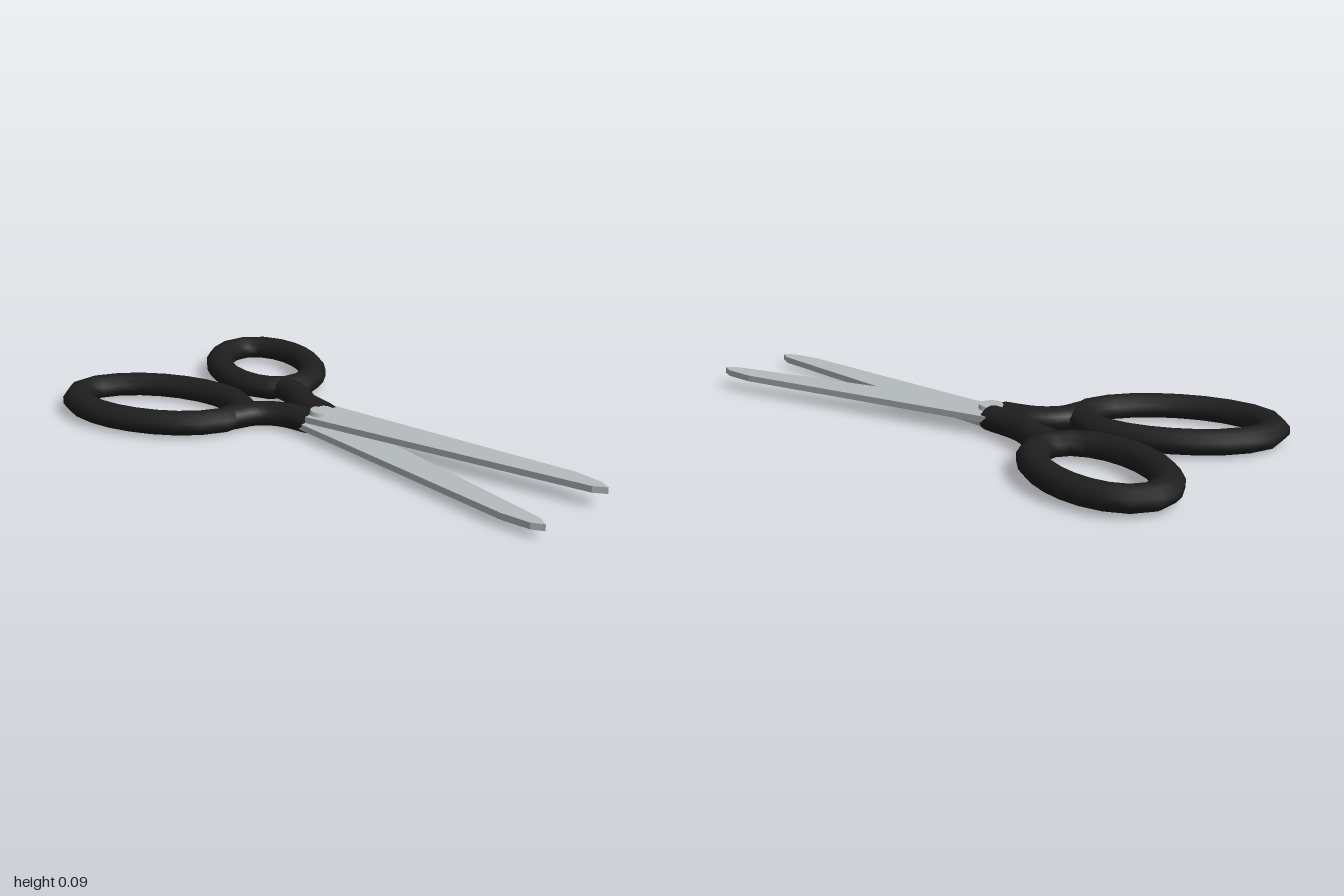
import * as THREE from 'three';

const steel = new THREE.MeshStandardMaterial({ color: 0xb6bbbe });
steel.name = 'steel';
const blackGrip = new THREE.MeshStandardMaterial({ color: 0x1e1e1e });
blackGrip.name = 'black grip';

const FLATTEN = 0.8; // grips are a little lower than they are wide
const GRIP = 0.053;

function addMesh(parent, name, geometry, material) {
  const mesh = new THREE.Mesh(geometry, material);
  mesh.name = name;
  parent.add(mesh);
  return mesh;
}

// Oval finger ring: a tube along a tilted ellipse
function ringGeometry({ x, z, a, b, tilt }) {
  const points = [];
  for (let i = 0; i < 20; i++) {
    const t = (i / 20) * Math.PI * 2;
    const u = a * Math.cos(t), v = b * Math.sin(t);
    points.push(new THREE.Vector3(
      x + u * Math.cos(tilt) - v * Math.sin(tilt), 0,
      z + u * Math.sin(tilt) + v * Math.cos(tilt)));
  }
  const curve = new THREE.CatmullRomCurve3(points, true);
  return new THREE.TubeGeometry(curve, 20, GRIP, 10, true).scale(1, FLATTEN, 1);
}

// Finger ring, curved shank and the flat cap that meets the blade
function addHandle(parent, name, y, ring, path) {
  const handle = new THREE.Group();
  handle.name = name;
  handle.position.y = y;
  parent.add(handle);
  addMesh(handle, 'fingerRing', ringGeometry(ring), blackGrip);

  const curve = new THREE.CatmullRomCurve3(path.map(([x, z]) => new THREE.Vector3(x, 0, z)));
  addMesh(handle, 'shank', new THREE.TubeGeometry(curve, 10, GRIP, 12).scale(1, FLATTEN, 1), blackGrip);

  const end = curve.getPointAt(1), dir = curve.getTangentAt(1);
  const cap = new THREE.CircleGeometry(GRIP, 12)
    .rotateY(Math.atan2(dir.x, dir.z))
    .scale(1, FLATTEN, 1)
    .translate(end.x, 0, end.z);
  addMesh(handle, 'shankCap', cap, blackGrip);
}

// Flat blade cut from an outline in x and z
function addBlade(parent, name, y, outline) {
  const shape = new THREE.Shape(outline.map(([x, z]) => new THREE.Vector2(x, -z)));
  const geometry = new THREE.ExtrudeGeometry(shape, { depth: 0.022, bevelEnabled: false });
  geometry.rotateX(-Math.PI / 2).translate(0, y, 0);
  addMesh(parent, name, geometry, steel);
}

export function createModel() {
  const group = new THREE.Group();
  group.name = 'scissors';

  addHandle(group, 'smallHandle', 0.049,
    { x: -0.664, z: -0.29, a: 0.264, b: 0.168, tilt: 0.42 },
    [[-0.42, -0.165], [-0.35, -0.15], [-0.25, -0.1], [-0.115, -0.07]]);
  addHandle(group, 'largeHandle', 0.043,
    { x: -0.641, z: 0.255, a: 0.322, b: 0.187, tilt: -0.4 },
    [[-0.34, 0.17], [-0.31, 0.08], [-0.235, 0.022], [-0.115, 0]]);

  addBlade(group, 'upperBlade', 0.046,
    [[-0.13, -0.122], [0.85, -0.227], [0.955, -0.217], [0.997, -0.195], [0.955, -0.168], [-0.13, 0.034]]);
  addBlade(group, 'lowerBlade', 0.024,
    [[-0.13, 0.048], [0.85, 0.149], [0.957, 0.142], [0.997, 0.12], [0.957, 0.094], [-0.13, -0.11]]);

  // Pivot rivet with a wide head above and below
  const rivet = new THREE.Group();
  rivet.name = 'pivotRivet';
  rivet.position.set(-0.092, 0, -0.033);
  group.add(rivet);
  const addDisc = (name, rTop, rBottom, y0, y1) =>
    addMesh(rivet, name, new THREE.CylinderGeometry(rTop, rBottom, y1 - y0, 24).translate(0, (y0 + y1) / 2, 0), steel);
  addDisc('rivetPin', 0.03, 0.03, 0.015, 0.075);
  addDisc('upperHead', 0.04, 0.045, 0.07, 0.084);
  addDisc('lowerHead', 0.045, 0.04, 0.009, 0.022);

  return group;
}
